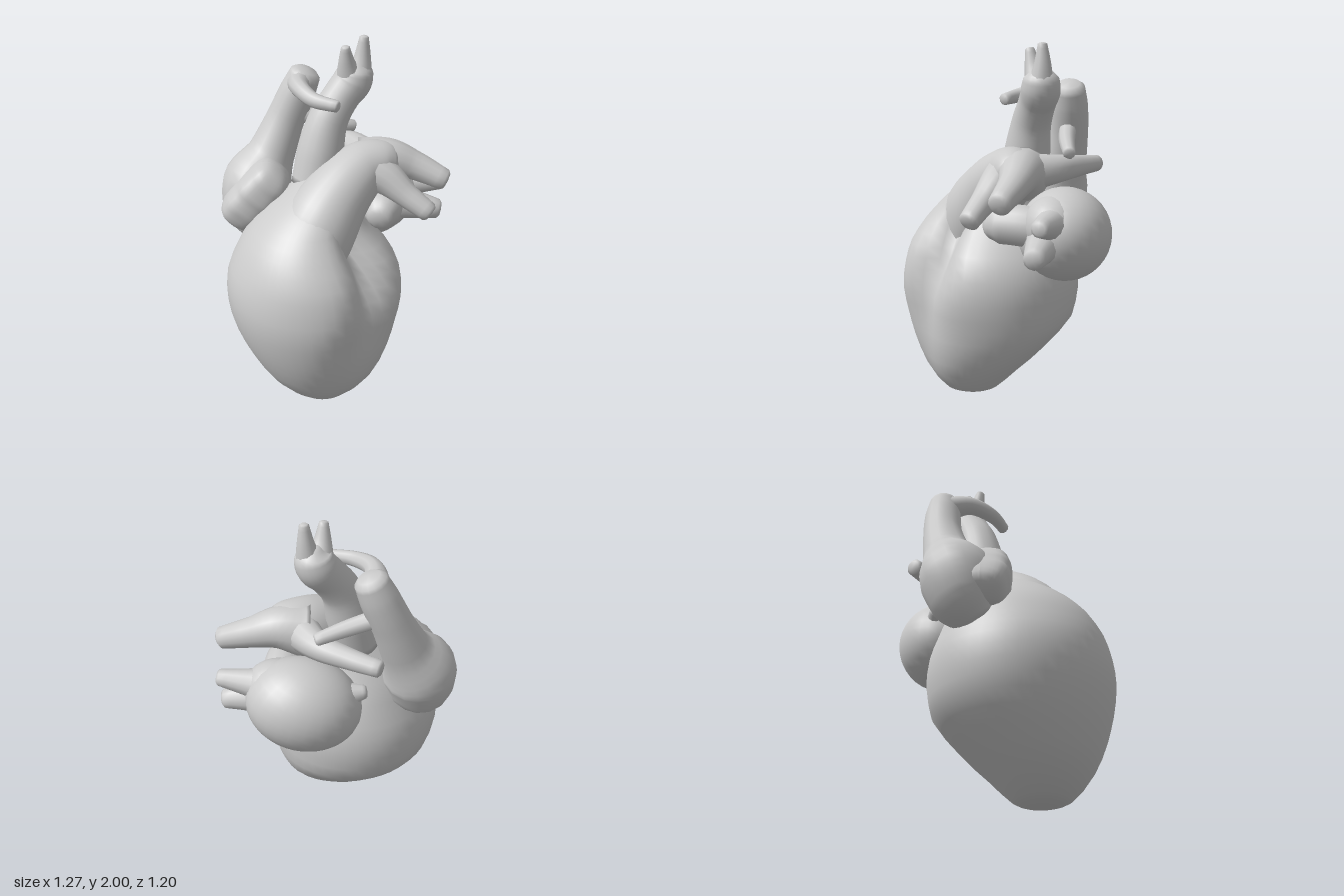
import * as THREE from 'three';

const mat = new THREE.MeshStandardMaterial({ color: 0xcccccc });
const V = (p) => new THREE.Vector3(p[0], p[1], p[2]);

// Skin a stack of closed rings, with a pole at each end
function loft(rings, start, end) {
  const n = rings[0].length, pos = [], idx = [];
  rings.flat().forEach((p) => pos.push(p.x, p.y, p.z));
  for (let i = 0; i < rings.length - 1; i++) {
    for (let j = 0; j < n; j++) {
      const k = (j + 1) % n, a = i * n + j, b = i * n + k;
      idx.push(a, b, a + n, b, b + n, a + n);
    }
  }
  const s = rings.length * n, last = s - n;
  pos.push(start.x, start.y, start.z, end.x, end.y, end.z);
  for (let j = 0; j < n; j++) {
    const k = (j + 1) % n;
    idx.push(s, k, j, s + 1, last + j, last + k);
  }
  const g = new THREE.BufferGeometry();
  g.setAttribute('position', new THREE.Float32BufferAttribute(pos, 3));
  g.setIndex(idx);
  g.computeVertexNormals();
  return g;
}

// Tapered tube along stations [x, y, z, radius], with a blunt rounded tip
function vessel(stations, sides = 14) {
  const curve = new THREE.CatmullRomCurve3(stations.map(V));
  const radii = new THREE.CatmullRomCurve3(stations.map((s) => new THREE.Vector3(s[3], 0, 0)));
  const steps = (stations.length - 1) * 5;
  const pts = [], tans = [];
  for (let i = 0; i <= steps; i++) {
    pts.push(curve.getPoint(i / steps));
    tans.push(curve.getTangent(i / steps));
  }
  const N = new THREE.Vector3(0, 0, 1);
  if (Math.abs(tans[0].z) > 0.8) N.set(0, 1, 0);
  const ring = (c, T, r) => {
    N.addScaledVector(T, -N.dot(T)).normalize();
    const B = new THREE.Vector3().crossVectors(T, N);
    return Array.from({ length: sides }, (_, j) => {
      const a = (j / sides) * Math.PI * 2;
      return c.clone().addScaledVector(N, r * Math.cos(a)).addScaledVector(B, r * Math.sin(a));
    });
  };
  const rings = pts.map((p, i) => ring(p, tans[i], radii.getPoint(i / steps).x));
  const r = stations[stations.length - 1][3], T = tans[steps], tip = pts[steps];
  rings.push(ring(tip.clone().addScaledVector(T, r * 0.25), T, r * 0.7));
  return loft(rings, pts[0], tip.clone().addScaledVector(T, r * 0.32));
}

// Ventricles: rows of [y, xMin, xMax, zMin, zMax, groove depth]
function ventricles() {
  const rows = [
    [0.01, -0.13, 0.03, 0.1, 0.29, 0],
    [0.04, -0.21, 0.11, 0.04, 0.36, 0.01],
    [0.17, -0.36, 0.24, -0.09, 0.475, 0.04],
    [0.33, -0.475, 0.32, -0.25, 0.545, 0.055],
    [0.47, -0.55, 0.36, -0.37, 0.58, 0.065],
    [0.62, -0.585, 0.387, -0.4, 0.6, 0.09],
    [0.76, -0.58, 0.375, -0.39, 0.585, 0.14],
    [0.88, -0.535, 0.32, -0.35, 0.55, 0.18],
    [1.0, -0.47, 0.21, -0.3, 0.475, 0.18],
    [1.1, -0.38, 0.14, -0.25, 0.385, 0.13],
    [1.2, -0.26, 0.13, -0.2, 0.275, 0.05],
    [1.29, -0.12, 0.15, -0.17, 0.13, 0],
    [1.35, 0.0, 0.15, -0.13, 0.02, 0],
  ];
  const c0 = new THREE.CatmullRomCurve3(rows.map(V));
  const c1 = new THREE.CatmullRomCurve3(rows.map((r) => V(r.slice(3))));
  const steps = (rows.length - 1) * 2, sides = 48, rings = [];
  const bump = (t, at, width) => {
    const d = Math.atan2(Math.sin(t - at), Math.cos(t - at));
    return Math.exp(-((d / width) ** 2));
  };
  for (let i = 0; i <= steps; i++) {
    const a = c0.getPoint(i / steps), b = c1.getPoint(i / steps);
    const [y, x0, x1, z0, z1, depth] = [a.x, a.y, a.z, b.x, b.y, b.z];
    // The groove between the chambers swings sideways and narrows as it climbs
    const groove = THREE.MathUtils.degToRad(30 + 27 * Math.min(1, y));
    const width = THREE.MathUtils.lerp(0.55, 0.27, Math.min(1, y / 0.7));
    const fullness = 0.1 * Math.max(0, 1 - Math.abs(y - 0.28) / 0.28);
    rings.push(Array.from({ length: sides }, (_, j) => {
      const t = (j / sides) * Math.PI * 2;
      const k = 1 - (depth / 0.48) * bump(t, groove, width) + fullness * bump(t, 2.36, 0.5);
      return new THREE.Vector3(
        (x0 + x1) / 2 + Math.sin(t) * k * (x1 - x0) / 2, y,
        (z0 + z1) / 2 + Math.cos(t) * k * (z1 - z0) / 2);
    }));
  }
  return loft(rings, V([-0.05, 0, 0.2]), V([0.07, 1.37, -0.06]));
}

// Ear-shaped flap with a ruffled front rim
function auricle() {
  const g = new THREE.SphereGeometry(1, 40, 20), p = g.attributes.position;
  for (let i = 0; i < p.count; i++) {
    const x = p.getX(i), y = p.getY(i), z = p.getZ(i);
    const ruffle = 1 + 0.06 * Math.sin(y * 14) * Math.max(0, z) * (1 - y * y);
    const box = 1 / Math.pow(x ** 4 + y ** 4 + z ** 4, 0.18);
    p.setXYZ(i, x * 0.125 * box * ruffle, y * 0.215 * box, z * 0.15 * box * ruffle);
  }
  g.rotateZ(-0.72).translate(-0.43, 1.125, -0.09);
  g.computeVertexNormals();
  return g;
}

export function createModel() {
  const model = new THREE.Group();
  const add = (name, geometry) => {
    const m = new THREE.Mesh(geometry, mat);
    m.name = name;
    model.add(m);
  };

  add('ventricles', ventricles());

  // Pulmonary trunk and its branches
  add('pulmonaryTrunk', vessel([
    [-0.13, 0.85, 0.2, 0.2], [-0.08, 1.03, 0.155, 0.21], [0.04, 1.21, 0.04, 0.18],
    [0.17, 1.31, -0.06, 0.15], [0.27, 1.335, -0.09, 0.12], [0.33, 1.33, -0.1, 0.09]], 28));
  add('leftPulmonaryArteryUpper', vessel([
    [0.16, 1.31, -0.12, 0.145], [0.3, 1.335, -0.125, 0.115], [0.44, 1.3, -0.115, 0.083], [0.61, 1.235, -0.07, 0.06]]));
  add('leftPulmonaryArteryLower', vessel([
    [0.16, 1.31, -0.05, 0.13], [0.28, 1.28, -0.01, 0.1], [0.4, 1.2, 0.05, 0.068], [0.52, 1.125, 0.1, 0.055]]));
  add('rightPulmonaryArtery', vessel([
    [0.2, 1.32, -0.12, 0.11], [0.1, 1.335, -0.3, 0.075], [-0.06, 1.33, -0.41, 0.056], [-0.2, 1.32, -0.48, 0.046]]));

  // Aorta with a swollen arch, and the two arteries rising from it
  add('aorta', vessel([
    [-0.1, 1.2, -0.08, 0.13], [-0.07, 1.38, -0.11, 0.128], [-0.025, 1.56, -0.14, 0.108],
    [0.045, 1.68, -0.18, 0.1], [0.1, 1.75, -0.205, 0.105], [0.12, 1.81, -0.21, 0.095],
    [0.125, 1.855, -0.21, 0.05]], 18));
  add('archArteryFront', vessel([
    [0.085, 1.78, -0.19, 0.075], [0.07, 1.87, -0.16, 0.046], [0.063, 1.96, -0.14, 0.024]], 10));
  add('archArteryBack', vessel([
    [0.14, 1.78, -0.21, 0.07], [0.153, 1.88, -0.22, 0.047], [0.16, 1.99, -0.22, 0.025]], 10));

  // Vena cava widening into the right atrium, with side veins
  add('rightAtriumAndVenaCava', vessel([
    [-0.42, 0.87, -0.1, 0.09], [-0.44, 0.98, -0.17, 0.18], [-0.43, 1.12, -0.22, 0.2],
    [-0.35, 1.29, -0.28, 0.135], [-0.27, 1.48, -0.32, 0.108], [-0.2, 1.64, -0.33, 0.1],
    [-0.155, 1.745, -0.33, 0.085]], 16));
  add('rightAuricle', auricle());
  add('curvedVein', vessel([
    [-0.19, 1.7, -0.31, 0.07], [-0.18, 1.72, -0.18, 0.05], [-0.1, 1.7, -0.06, 0.04], [0.025, 1.69, 0.0, 0.032]], 10));
  add('backVein', vessel([
    [-0.24, 1.53, -0.32, 0.05], [-0.06, 1.47, -0.33, 0.045], [0.11, 1.42, -0.36, 0.034]], 10));

  // Left atrium with its upper lobe, auricle and pulmonary veins
  add('leftAtrium', new THREE.SphereGeometry(1, 28, 18)
    .scale(0.31, 0.25, 0.25).rotateZ(0.3).translate(0.18, 1.0, -0.35));
  add('leftAtriumLobe', new THREE.SphereGeometry(1, 20, 14).scale(0.18, 0.15, 0.15).translate(0.31, 1.08, -0.3));
  add('leftAuricle', vessel([
    [0.3, 1.03, -0.3, 0.1], [0.29, 1.06, -0.15, 0.11], [0.27, 1.06, -0.02, 0.105], [0.26, 1.05, 0.045, 0.07]], 16));
  const veins = [
    [[0.28, 1.08, -0.32, 0.14], [0.44, 1.105, -0.3, 0.08], [0.62, 1.125, -0.27, 0.045]],
    [[0.28, 1.0, -0.29, 0.14], [0.43, 0.985, -0.26, 0.09], [0.6, 0.96, -0.24, 0.055]],
    [[0.05, 1.05, -0.36, 0.09], [-0.08, 1.07, -0.36, 0.055], [-0.14, 1.08, -0.36, 0.036]],
  ];
  veins.forEach((v, i) => add(`pulmonaryVein${i + 1}`, vessel(v, 12)));

  return model;
}
